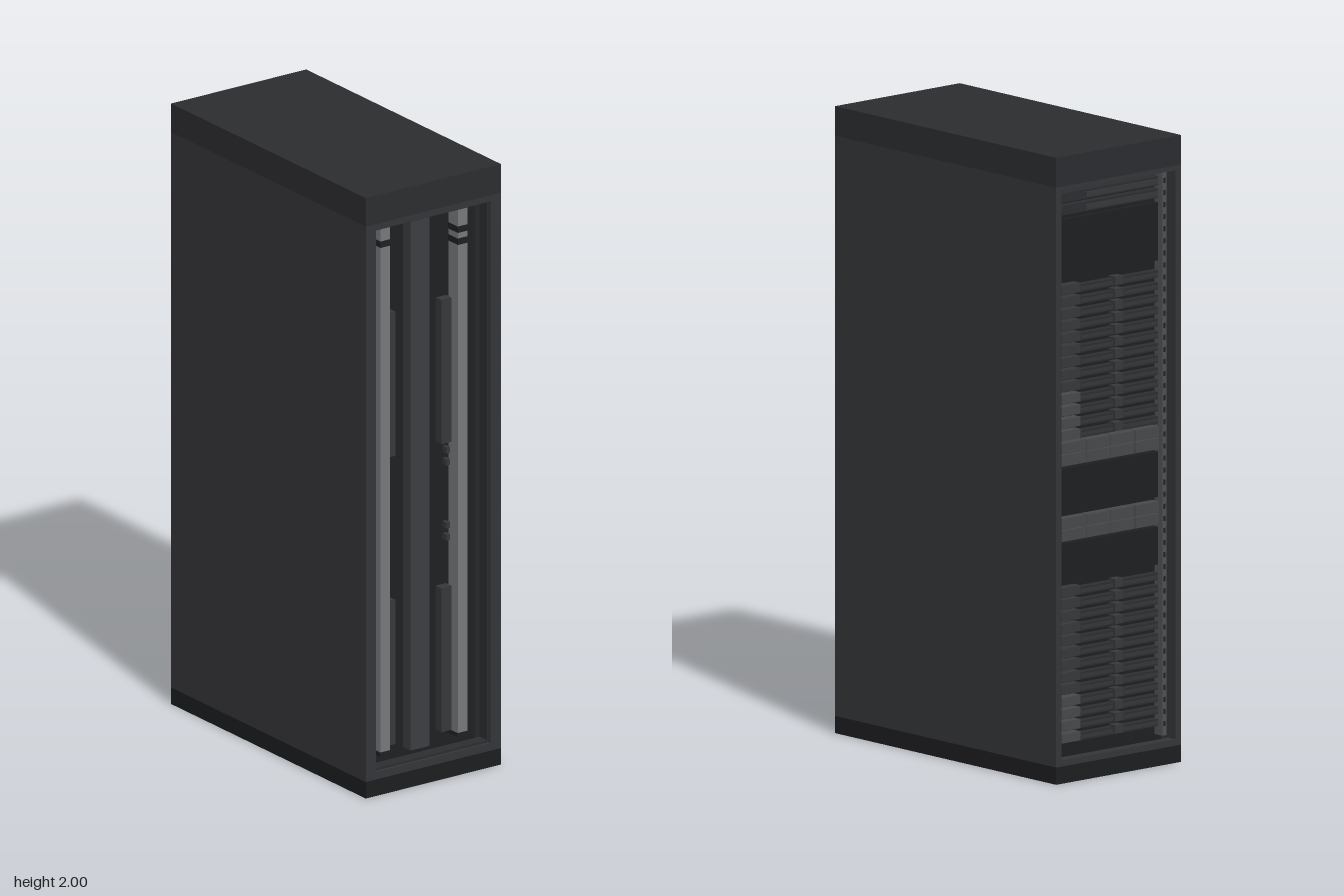
import * as THREE from 'three';

const mat = (color) => new THREE.MeshStandardMaterial({ color, roughness: 0.8 });

export function createModel() {
  const rack = new THREE.Group();
  rack.name = 'serverRack';
  const M = {
    panel: mat(0x343538), cap: mat(0x2b2c2f), base: mat(0x1c1d1f), frame: mat(0x2c2d30),
    dark: mat(0x1e1f21), duct: mat(0x3c3d41), cable: mat(0x36373a), rail: mat(0x505154),
    power: mat(0x77787a), metal: mat(0x47484b),
  };

  // Box given by its extents on each axis
  function box(parent, name, x0, x1, y0, y1, z0, z1, material) {
    const mesh = new THREE.Mesh(new THREE.BoxGeometry(x1 - x0, y1 - y0, z1 - z0), material);
    mesh.position.set((x0 + x1) / 2, (y0 + y1) / 2, (z0 + z1) / 2);
    mesh.name = name;
    parent.add(mesh);
    return mesh;
  }

  // Rectangular door frame with one opening
  function frame(name, w, y0, y1, border, bottom, top, z0, z1, material) {
    const s = new THREE.Shape();
    s.moveTo(-w, y0).lineTo(w, y0).lineTo(w, y1).lineTo(-w, y1).closePath();
    const h = new THREE.Path(), i = w - border;
    h.moveTo(-i, y0 + bottom).lineTo(-i, y1 - top).lineTo(i, y1 - top).lineTo(i, y0 + bottom).closePath();
    s.holes.push(h);
    const mesh = new THREE.Mesh(
      new THREE.ExtrudeGeometry(s, { depth: z1 - z0, bevelEnabled: false }), material);
    mesh.position.z = z0;
    mesh.name = name;
    rack.add(mesh);
  }

  // Cabinet shell
  box(rack, 'plinth', -0.26, 0.26, 0, 0.055, -0.52, 0.52, M.base);
  box(rack, 'topCap', -0.26, 0.26, 1.905, 2, -0.52, 0.52, M.cap);
  for (const s of [-1, 1]) {
    box(rack, 'sidePanel', s * 0.25 - 0.01, s * 0.25 + 0.01, 0.055, 1.905, -0.485, 0.49, M.panel);
  }
  box(rack, 'core', -0.24, 0.24, 0.055, 1.905, -0.45, 0.41, M.dark);
  frame('frontFrame', 0.26, 0.055, 1.905, 0.04, 0.025, 0.02, 0.49, 0.52, M.panel);
  frame('frontInnerFrame', 0.24, 0.055, 1.905, 0.027, 0.033, 0.026, 0.47, 0.51, M.frame);
  frame('rearFrame', 0.26, 0.055, 1.905, 0.022, 0.02, 0.015, -0.52, -0.485, M.panel);

  // Front bay: centre duct, power strips and cable bundles
  const front = new THREE.Group();
  front.name = 'frontBay';
  rack.add(front);
  box(front, 'centreDuct', -0.038, 0.036, 0.09, 1.88, 0.41, 0.45, M.duct);
  for (const s of [-1, 1]) {
    const at = (name, a, b, y0, y1, z0, z1, m) =>
      box(front, name, Math.min(s * a, s * b), Math.max(s * a, s * b), y0, y1, z0, z1, m);
    at('powerStrip', 0.13, 0.167, 0.11, 1.878, 0.42, 0.47, M.power);
    at('stripFoot', 0.126, 0.171, 0.105, 0.118, 0.41, 0.472, M.dark);
    for (const y of s < 0 ? [1.80] : [1.745, 1.785]) {
      at('breaker', 0.128, 0.169, y, y + 0.02, 0.42, 0.473, M.dark);
    }
    for (const [y0, y1] of [[0.12, 0.6], [1.08, 1.56]]) {
      at('cableBundle', 0.088, 0.128, y0, y1, 0.41, 0.44, M.cable);
    }
    for (const y of [0.75, 0.79, 1.0, 1.04]) {
      at('cablePlug', 0.115, 0.128, y, y + 0.02, 0.41, 0.43, M.cable);
    }
  }

  // Rear bay: mounting rails with hole marks
  const rear = new THREE.Group();
  rear.name = 'rearBay';
  rack.add(rear);
  for (const s of [-1, 1]) {
    box(rear, 'rail', s * 0.22 - 0.009, s * 0.22 + 0.009, 0.085, 1.88, -0.488, -0.44, M.rail);
    for (let i = 0; i < 46; i++) {
      const y = 0.115 + i * 0.0385;
      box(rear, 'railSlot', s * 0.22 - 0.004, s * 0.22 + 0.004, y, y + 0.016, -0.489, -0.485, M.base);
    }
  }

  // One slim server seen from behind: power unit, card slots, handle tab
  const U = 0.0388;
  function server(y, i) {
    const g = new THREE.Group();
    g.name = 'server';
    g.position.y = y;
    rear.add(g);
    box(g, 'chassis', -0.205, 0.205, 0, U * 0.6, -0.475, -0.44, M.frame);
    box(g, 'powerUnit', 0.125, 0.203, 0.002, U * 0.8, -0.482, -0.45, i < 4 ? M.metal : M.cable);
    box(g, 'portBlock', -0.055, -0.02, 0.002, U * 0.75, -0.481, -0.45, M.cable);
    box(g, 'cardSlots', -0.2, -0.06, 0.006, U * 0.42, -0.479, -0.45, M.panel);
    box(g, 'ioStrip', -0.015, 0.12, 0.006, U * 0.42, -0.478, -0.45, M.panel);
  }
  for (const y0 of [0.115, 1.08]) {
    for (let i = 0; i < 13; i++) server(y0 + i * U, i);
  }

  // Two double-height switches made of rows of modules
  for (const y0 of [0.76, 1.0]) {
    for (let r = 0; r < 2; r++) {
      for (let c = 0; c < 4; c++) {
        const x = -0.203 + c * 0.102, y = y0 + r * 0.038;
        box(rear, 'switchModule', x, x + 0.099, y, y + 0.035, -0.482, -0.44, M.metal);
      }
    }
  }

  // Blanking panels and the slim units at the top
  for (const [y0, y1] of [[0.63, 0.75], [0.845, 0.99], [1.6, 1.785]]) {
    box(rear, 'blankPanel', -0.207, 0.207, y0, y1, -0.472, -0.44, M.dark);
  }
  for (const y of [1.8, 1.84]) {
    box(rear, 'topUnit', -0.205, 0.205, y, y + 0.03, -0.475, -0.44, M.frame);
    box(rear, 'topUnitPorts', -0.2, 0.1, y + 0.006, y + 0.022, -0.481, -0.45, M.cable);
  }
  return rack;
}
